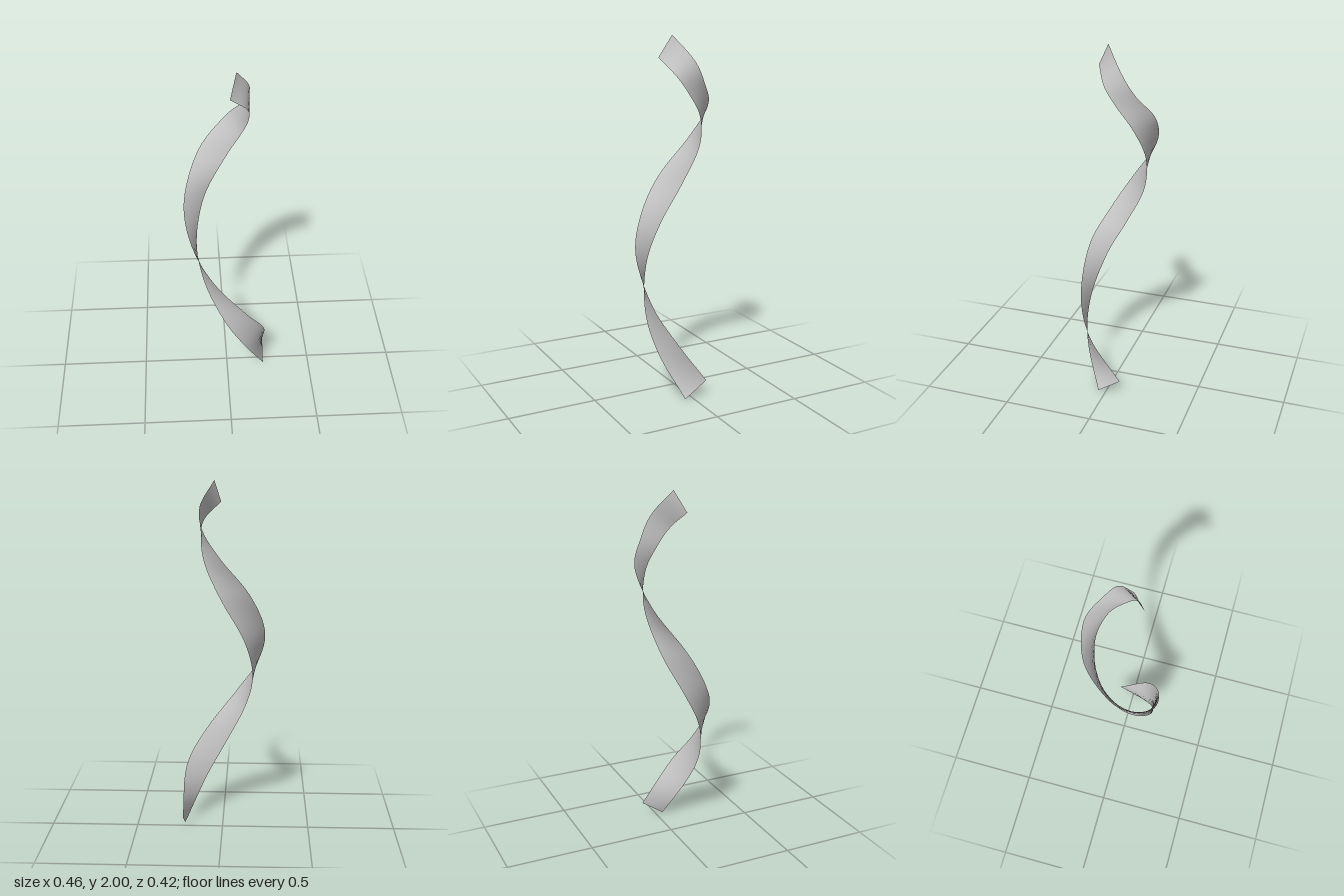
import * as THREE from 'three';

// Smooth curve through a few edge points
const edge = (pts) =>
  new THREE.CatmullRomCurve3(pts.map((p) => new THREE.Vector3(...p)), false, 'catmullrom', 0.5);

// Ruled strip spanned between two edge curves
function ruledStrip(a, b, along, across) {
  const pos = [], index = [];
  for (let i = 0; i <= along; i++) {
    const p = a.getPoint(i / along), q = b.getPoint(i / along);
    for (let j = 0; j <= across; j++) pos.push(...p.clone().lerp(q, j / across).toArray());
  }
  const row = across + 1;
  for (let i = 0; i < along; i++) {
    for (let j = 0; j < across; j++) {
      const k = i * row + j;
      index.push(k, k + 1, k + row, k + 1, k + row + 1, k + row);
    }
  }
  const geo = new THREE.BufferGeometry();
  geo.setAttribute('position', new THREE.Float32BufferAttribute(pos, 3));
  geo.setIndex(index);
  geo.computeVertexNormals();
  return geo;
}

export function createModel() {
  const group = new THREE.Group();
  group.name = 'spiralRibbon';

  // Inner (lower) edge of the spiral, bottom to top
  const inner = edge([
    [0.222, 0, 0.045], [0.1, 0.25, 0.152], [-0.02, 0.47, 0.174], [-0.13, 0.71, 0.11],
    [-0.17, 0.92, 0], [-0.122, 0.15 + 1, -0.115], [0, 1.38, -0.16], [0.087, 1.56, -0.115],
    [0.115, 1.69, -0.03], [0.1, 1.79, 0.042], [0.01, 1.88, 0.1],
  ]);

  // Outer (upper) edge of the spiral
  const outer = edge([
    [0.226, 0.09, -0.087], [0.214, 0.34, 0.095], [0.1, 0.54, 0.19], [-0.08, 0.78, 0.201],
    [-0.2, 0.98, 0.11], [-0.235, 1.19, -0.02], [-0.15, 1.42, -0.175], [0, 1.61, -0.213],
    [0.1, 1.75, -0.132], [0.118, 1.87, -0.06], [0.045, 2, 0.035],
  ]);

  const ribbon = new THREE.Mesh(
    ruledStrip(inner, outer, 60, 2),
    new THREE.MeshStandardMaterial({ color: 0xcccccc, side: THREE.DoubleSide })
  );
  ribbon.name = 'ribbon';
  group.add(ribbon);
  return group;
}
